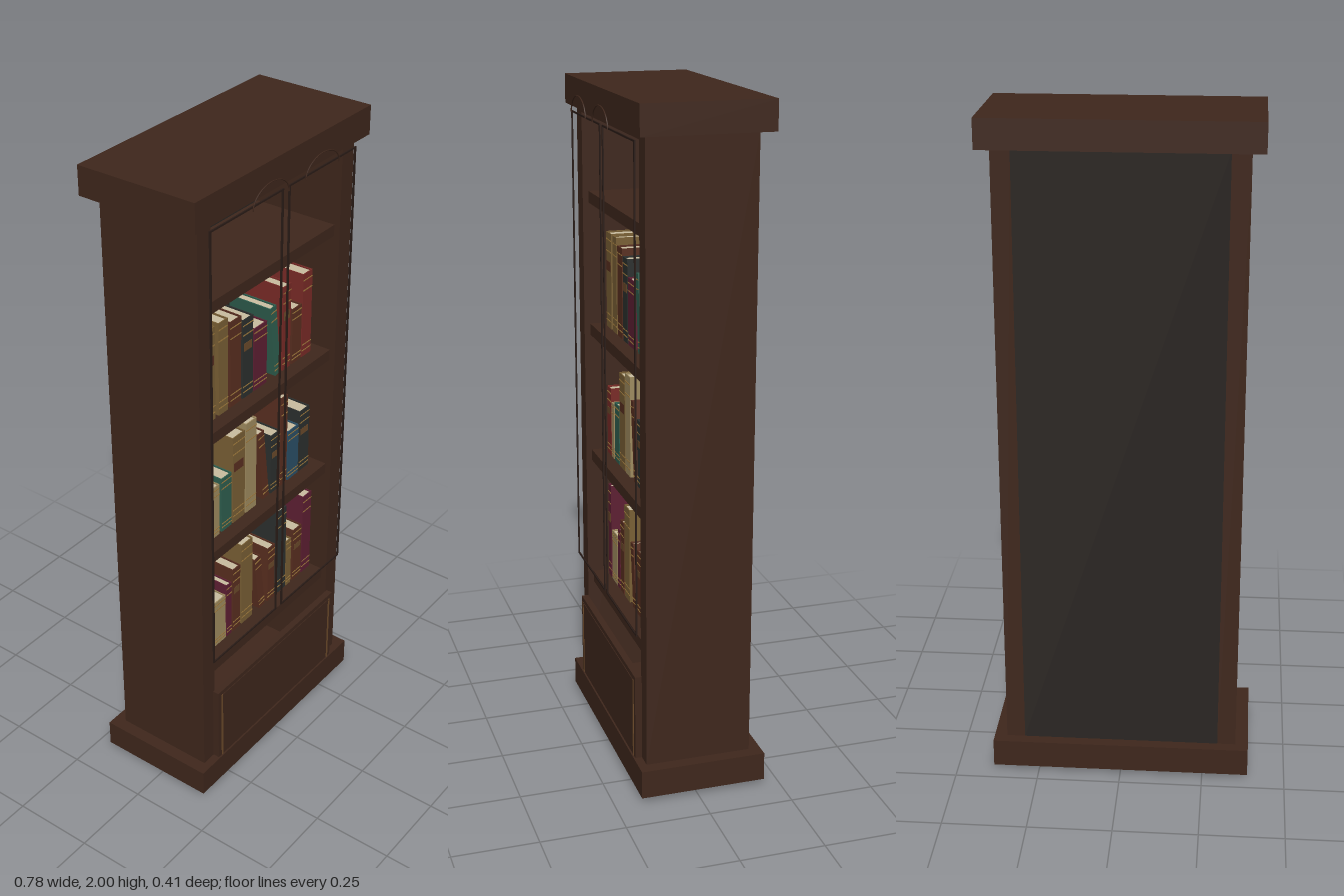
import * as THREE from 'three';

const mat = (color) => new THREE.MeshStandardMaterial({ color });
const WOOD = mat(0x3f271c), DARK_WOOD = mat(0x2c1a13), BACK = mat(0x2a2522);
const TRIM = mat(0x6b4a2a), GOLD = mat(0xa07a3c), PAGES = mat(0xc9bda0), EDGE = mat(0x2a1c17);
const COVERS = {
  tan: mat(0x7a6035), cream: mat(0xa08c60), crimson: mat(0x5e1f33), red: mat(0x7a2b27),
  teal: mat(0x2f6050), brown: mat(0x5a2f20), dark: mat(0x2c302e), blue: mat(0x2a5068),
};

// Box given by its min and max on each axis
function box(parent, name, material, x0, x1, y0, y1, z0, z1) {
  const mesh = new THREE.Mesh(new THREE.BoxGeometry(x1 - x0, y1 - y0, z1 - z0), material);
  mesh.position.set((x0 + x1) / 2, (y0 + y1) / 2, (z0 + z1) / 2);
  mesh.name = name;
  parent.add(mesh);
  return mesh;
}

// A book standing on its lower left corner, spine to the front
function makeBook(x0, x1, height, color, lean, index) {
  const book = new THREE.Group();
  book.name = 'book';
  const w = x1 - x0, z0 = -0.06, z1 = 0.085, t = 0.003, cover = COVERS[color];
  box(book, 'frontCover', cover, 0, t, 0, height, z0, z1);
  box(book, 'backCover', cover, w - t, w, 0, height, z0, z1);
  box(book, 'spine', cover, t, w - t, 0, height, z1 - t, z1);
  box(book, 'pages', PAGES, t, w - t, 0.004, height - 0.005, z0 + 0.005, z1 - t);
  // Raised bands across the spine
  for (const f of [0.07, 0.14, 0.8, 0.92]) {
    box(book, 'spineBand', GOLD, 0, w, height * f, height * f + 0.003, z1, z1 + 0.001);
  }
  // Plain label on some spines
  if (index % 3 === 0) {
    const label = color === 'cream' || color === 'tan' ? COVERS.brown : TRIM;
    box(book, 'spineLabel', label, w * 0.12, w * 0.88, height * 0.6, height * 0.7, z1, z1 + 0.001);
  }
  book.rotation.z = lean;
  book.position.x = x0;
  return book;
}

// Each row: shelf height, then left, right, top, cover and lean of each book
const ROWS = [
  [0.445, [
    [-0.26, -0.23, 0.75, 'crimson'], [-0.22, -0.16, 0.61, 'cream'], [-0.155, -0.13, 0.64, 'crimson'],
    [-0.124, -0.087, 0.68, 'brown'], [-0.08, -0.025, 0.745, 'tan'], [0.012, 0.042, 0.65, 'brown', 0.13],
    [0.055, 0.092, 0.65, 'brown'], [0.1, 0.15, 0.76, 'dark'], [0.155, 0.18, 0.62, 'tan'],
    [0.19, 0.235, 0.64, 'brown'], [0.24, 0.285, 0.74, 'crimson'],
  ]],
  [0.855, [
    [-0.26, -0.22, 1.07, 'red'], [-0.214, -0.187, 1.03, 'cream'], [-0.177, -0.13, 1.04, 'teal'],
    [-0.124, -0.066, 1.15, 'tan'], [-0.06, -0.01, 1.165, 'cream'], [0.027, 0.056, 1.1, 'brown', 0.12],
    [0.063, 0.108, 1.06, 'dark'], [0.113, 0.145, 1.165, 'brown'], [0.15, 0.205, 1.03, 'blue'],
    [0.21, 0.26, 1.07, 'dark'],
  ]],
  [1.26, [
    [-0.256, -0.203, 1.55, 'tan'], [-0.187, -0.145, 1.55, 'tan'], [-0.135, -0.085, 1.53, 'brown'],
    [-0.077, -0.03, 1.51, 'dark'], [-0.024, 0.036, 1.46, 'crimson'], [0.078, 0.106, 1.49, 'teal', 0.12],
    [0.113, 0.15, 1.53, 'red'], [0.16, 0.205, 1.44, 'brown'], [0.21, 0.255, 1.53, 'red'],
  ]],
];

export function createModel() {
  const model = new THREE.Group();
  model.name = 'bookcase';

  // Carcass
  box(model, 'foot', DARK_WOOD, -0.35, 0.35, 0, 0.015, -0.17, 0.14);
  box(model, 'base', WOOD, -0.388, 0.388, 0.015, 0.1, -0.205, 0.17);
  box(model, 'cornice', WOOD, -0.388, 0.388, 1.915, 2, -0.205, 0.17);
  box(model, 'topBoard', WOOD, -0.295, 0.295, 1.897, 1.915, -0.14, 0.145);
  box(model, 'backPanel', BACK, -0.295, 0.295, 0.1, 1.915, -0.17, -0.14);
  box(model, 'rightSide', WOOD, -0.35, -0.295, 0.1, 1.915, -0.17, 0.145);
  box(model, 'leftSide', WOOD, 0.295, 0.35, 0.1, 1.915, -0.17, 0.145);

  // Shelves
  for (const top of [0.445, 0.855, 1.26, 1.665]) {
    box(model, 'shelf', WOOD, -0.295, 0.295, top - 0.035, top, -0.14, 0.127);
  }

  // Lower front panel with thin moulding
  box(model, 'lowerPanel', WOOD, -0.303, 0.303, 0.1, 0.36, 0.145, 0.165);
  for (const s of [-1, 1]) {
    box(model, 'panelMoulding', TRIM, s * 0.285 - 0.003, s * 0.285 + 0.003, 0.1, 0.345, 0.165, 0.167);
  }
  box(model, 'panelMoulding', WOOD, -0.282, 0.282, 0.34, 0.345, 0.165, 0.167);

  // Pair of doors as slim open frames
  for (const s of [-1, 1]) {
    const door = new THREE.Group();
    door.name = s < 0 ? 'rightDoor' : 'leftDoor';
    for (const x of [0.015, 0.324]) {
      box(door, 'doorStile', EDGE, s * x - 0.003, s * x + 0.003, 0.5, 1.9, 0.164, 0.168);
    }
    for (const y of [0.5, 1.895]) {
      box(door, 'doorRail', EDGE, Math.min(s * 0.018, s * 0.321), Math.max(s * 0.018, s * 0.321), y, y + 0.005, 0.164, 0.168);
    }
    model.add(door);

    // Slim arched ornament in front of the cornice
    const arch = new THREE.Mesh(new THREE.TorusGeometry(0.078, 0.002, 6, 32, Math.PI), WOOD);
    arch.name = 'corniceOrnament';
    arch.scale.y = 0.68;
    arch.position.set(s * 0.115, 1.912, 0.201);
    model.add(arch);
  }

  // Books
  for (const [shelfTop, books] of ROWS) {
    const row = new THREE.Group();
    row.name = 'bookRow';
    row.position.y = shelfTop;
    books.forEach(([x0, x1, top, color, lean = 0], i) => {
      row.add(makeBook(x0, x1, top - shelfTop, color, lean, i));
    });
    model.add(row);
  }
  return model;
}
